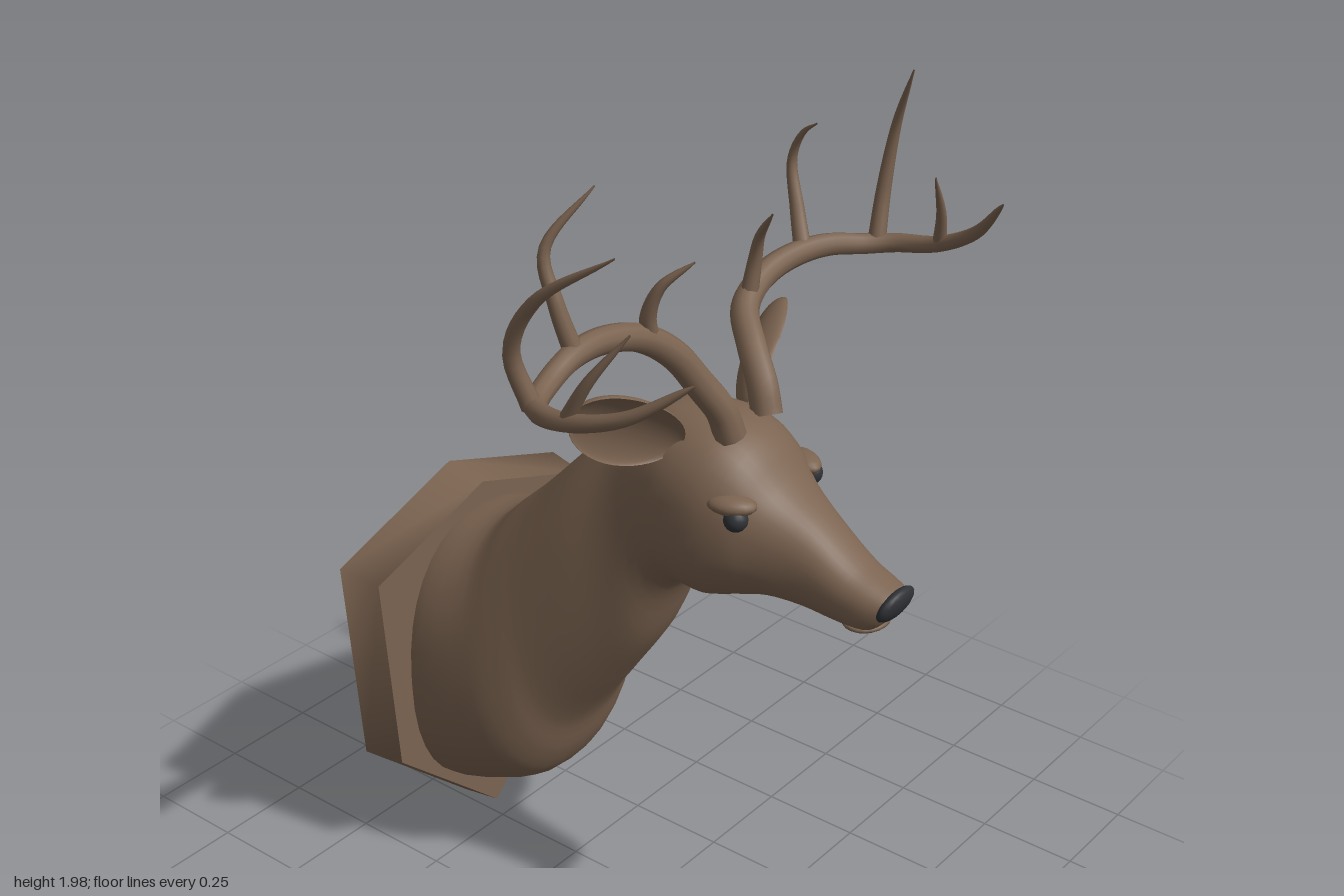
import * as THREE from 'three';

const CX = 0.022; // plane of symmetry of bust and plaque

const hide = new THREE.MeshStandardMaterial({ color: 0x7b6350, side: THREE.DoubleSide });
hide.name = 'brown';
const dark = new THREE.MeshStandardMaterial({ color: 0x303236 });
dark.name = 'charcoal';

const V = (x, y, z) => new THREE.Vector3(x, y, z);

function add(parent, name, geometry, material) {
  const mesh = new THREE.Mesh(geometry, material);
  mesh.name = name;
  parent.add(mesh);
  return mesh;
}

// Rounded-square ellipse point at angle a
function oval(a) {
  const f = (v) => Math.sign(v) * Math.pow(Math.abs(v), 0.86);
  return [f(Math.cos(a)), f(Math.sin(a))];
}

// Skin over a row of closed rings, each with n points
function skin(pos, rings, n) {
  const index = [];
  for (let i = 0; i < rings - 1; i++) {
    for (let j = 0; j < n; j++) {
      const a = i * n + j, d = i * n + ((j + 1) % n);
      index.push(a, d, a + n, d, d + n, a + n);
    }
  }
  const g = new THREE.BufferGeometry();
  g.setAttribute('position', new THREE.Float32BufferAttribute(pos, 3));
  g.setIndex(index);
  g.computeVertexNormals();
  return g;
}

// Neck and head: rings given by top z,y / bottom z,y / half width
function bustGeometry() {
  const sections = [
    [-0.56, 0.905, -0.56, 0.17, 0.265],
    [-0.54, 0.915, -0.54, 0.16, 0.278],
    [-0.43, 0.945, -0.30, 0.255, 0.265],
    [-0.36, 1.01, -0.24, 0.34, 0.247],
    [-0.28, 1.085, -0.20, 0.45, 0.225],
    [-0.15, 1.22, -0.10, 0.60, 0.193],
    [-0.05, 1.31, 0.00, 0.75, 0.165],
    [0.03, 1.37, 0.07, 0.91, 0.16],
    [0.12, 1.385, 0.12, 0.96, 0.175],
    [0.22, 1.38, 0.20, 0.96, 0.177],
    [0.29, 1.345, 0.28, 0.985, 0.157],
    [0.36, 1.27, 0.35, 1.005, 0.123],
    [0.45, 1.21, 0.43, 1.005, 0.092],
    [0.55, 1.14, 0.52, 1.0, 0.077],
    [0.61, 1.115, 0.585, 1.0, 0.067],
    [0.645, 1.1, 0.612, 1.02, 0.05],
    [0.638, 1.065, 0.638, 1.065, 0],
  ];
  const top = new THREE.CatmullRomCurve3(sections.map((s) => V(s[4], s[1], s[0])));
  const bottom = new THREE.CatmullRomCurve3(sections.map((s) => V(s[4], s[3], s[2])));
  const steps = 64, n = 36, pos = [];
  for (let i = 0; i <= steps; i++) {
    const t = top.getPoint(i / steps), b = bottom.getPoint(i / steps);
    for (let j = 0; j < n; j++) {
      const [c, s] = oval((j / n) * Math.PI * 2);
      const k = (s + 1) / 2;
      pos.push(CX + c * (t.x + b.x) / 2, b.y + (t.y - b.y) * k, b.z + (t.z - b.z) * k);
    }
  }
  return skin(pos, steps + 1, n);
}

// Pointed shield: open-backed shell with a hole for the neck in its front
function addPlaque(model) {
  const outline = [
    [0, 0.01], [0.342, 0.32], [0.38, 0.86], [0, 0.99], [-0.38, 0.86], [-0.342, 0.32],
  ];
  const front = outline.map(([x, y]) => [x * 0.96, 0.5 + (y - 0.5) * 0.96]);
  const ring = (points, z) => points.flatMap(([x, y]) => [CX + x, y, z]);

  const plate = new THREE.Shape(front.map(([x, y]) => new THREE.Vector2(x, y)));
  const hole = [];
  for (let j = 0; j < 36; j++) {
    const [c, s] = oval((-j / 36) * Math.PI * 2);
    hole.push(new THREE.Vector2(c * 0.27, 0.537 + s * 0.37));
  }
  plate.holes.push(new THREE.Path(hole));

  const plaque = new THREE.Group();
  plaque.name = 'plaque';
  add(plaque, 'plaqueFront', new THREE.ShapeGeometry(plate).translate(CX, 0, -0.54), hide);
  add(plaque, 'plaqueRim', skin([...ring(outline, -0.65), ...ring(front, -0.54)], 2, 6), hide);
  model.add(plaque);
}

// Tube through points that thins from r0 to a point
function horn(points, r0, power) {
  const curve = new THREE.CatmullRomCurve3(points.map((p) => V(...p)));
  const segs = points.length * 5, sides = 10;
  const g = new THREE.TubeGeometry(curve, segs, 1, sides);
  const p = g.attributes.position, v = V(0, 0, 0);
  for (let i = 0; i <= segs; i++) {
    const c = curve.getPointAt(i / segs);
    const r = Math.max(0.002, r0 * Math.pow(1 - i / segs, power));
    for (let j = 0; j <= sides; j++) {
      const k = i * (sides + 1) + j;
      v.fromBufferAttribute(p, k).sub(c).multiplyScalar(r).add(c);
      p.setXYZ(k, v.x, v.y, v.z);
    }
  }
  return g;
}

// Broad leaf-shaped ear with a hollow front
function earGeometry() {
  const g = new THREE.SphereGeometry(1, 28, 20);
  const p = g.attributes.position;
  for (let i = 0; i < p.count; i++) {
    const x = p.getX(i), y = p.getY(i), z = p.getZ(i);
    const w = 0.088 * (1 + 0.08 * x);
    const depth = z > 0 ? -0.015 * z : 0.045 * z;
    p.setXYZ(i, x * 0.15, y * w, depth + 0.015 * y * y);
  }
  g.computeVertexNormals();
  return g;
}

export function createModel() {
  const model = new THREE.Group();
  model.name = 'mountedDeerHead';

  addPlaque(model);
  add(model, 'neckAndHead', bustGeometry(), hide);

  // Nose pad, leaning forward at the top
  const nose = add(model, 'nose', new THREE.SphereGeometry(1, 20, 14), dark);
  nose.scale.set(0.062, 0.042, 0.02);
  nose.position.set(CX, 1.073, 0.633);
  nose.rotation.x = 0.4;

  // Lower lip
  const lip = add(model, 'lowerLip', new THREE.SphereGeometry(1, 20, 12), hide);
  lip.scale.set(0.062, 0.017, 0.05);
  lip.position.set(CX, 1.013, 0.565);

  for (const s of [1, -1]) {
    const side = s > 0 ? 'left' : 'right';
    const eye = add(model, side + 'Eye', new THREE.SphereGeometry(0.027, 16, 12), dark);
    eye.position.set(CX + s * 0.136, 1.223, 0.315);

    // Brow above the eye
    const brow = add(model, side + 'Brow', new THREE.SphereGeometry(1, 16, 12), hide);
    brow.scale.set(0.035, 0.022, 0.055);
    brow.position.set(CX + s * 0.128, 1.25, 0.298);
    brow.rotation.y = -s * 0.4;

    // Ear, aimed outward, up and back
    const ear = add(model, side + 'Ear', earGeometry(), hide);
    const along = V(s * 0.82, 0.5, -0.27).normalize();
    const up = V(s * 0.6, -0.25, 0.75).cross(along).normalize();
    const face = along.clone().cross(up);
    ear.quaternion.setFromRotationMatrix(new THREE.Matrix4().makeBasis(along, up, face));
    ear.position.set(CX + s * 0.238, 1.408, 0.108);
  }

  // Antlers: main beam first, then tines
  const antlers = {
    rightAntler: [
      [[-0.03, 1.36, 0.235], [-0.045, 1.42, 0.222], [-0.085, 1.49, 0.195], [-0.14, 1.57, 0.17],
        [-0.22, 1.63, 0.15], [-0.33, 1.662, 0.14], [-0.43, 1.665, 0.145], [-0.52, 1.645, 0.16],
        [-0.59, 1.635, 0.19], [-0.63, 1.645, 0.25], [-0.645, 1.665, 0.34], [-0.633, 1.705, 0.45], [-0.585, 1.785, 0.565]],
      [[-0.6, 1.635, 0.19], [-0.625, 1.75, 0.165], [-0.63, 1.87, 0.23], [-0.605, 1.99, 0.4]],
      [[-0.42, 1.66, 0.145], [-0.435, 1.77, 0.11], [-0.43, 1.87, 0.08], [-0.35, 1.99, 0.14]],
      [[-0.2, 1.62, 0.155], [-0.213, 1.68, 0.16], [-0.205, 1.745, 0.185], [-0.165, 1.8, 0.24]],
      [[-0.642, 1.66, 0.31], [-0.635, 1.75, 0.36], [-0.6, 1.85, 0.43]],
    ],
    leftAntler: [
      [[0.1, 1.36, 0.235], [0.115, 1.42, 0.21], [0.15, 1.48, 0.155], [0.21, 1.53, 0.09],
        [0.3, 1.565, 0.065], [0.4, 1.585, 0.07], [0.5, 1.59, 0.1], [0.58, 1.58, 0.15],
        [0.62, 1.585, 0.21], [0.625, 1.605, 0.31], [0.605, 1.665, 0.42], [0.55, 1.77, 0.515]],
      [[0.6, 1.58, 0.17], [0.635, 1.7, 0.16], [0.65, 1.85, 0.175], [0.62, 1.99, 0.23]],
      [[0.44, 1.585, 0.08], [0.475, 1.67, 0.035], [0.5, 1.77, 0.0], [0.497, 1.84, 0.03], [0.49, 1.87, 0.07]],
      [[0.235, 1.54, 0.08], [0.25, 1.63, 0.085], [0.245, 1.69, 0.1], [0.22, 1.76, 0.15]],
      [[0.625, 1.61, 0.32], [0.6, 1.69, 0.335], [0.55, 1.79, 0.345]],
    ],
  };
  for (const [name, paths] of Object.entries(antlers)) {
    const antler = new THREE.Group();
    antler.name = name;
    paths.forEach((path, i) => {
      if (i === 0) add(antler, 'mainBeam', horn(path, 0.036, 0.45), hide);
      else add(antler, 'tine' + i, horn(path, i === 4 ? 0.016 : 0.021, 0.6), hide);
    });
    model.add(antler);
  }
  return model;
}
